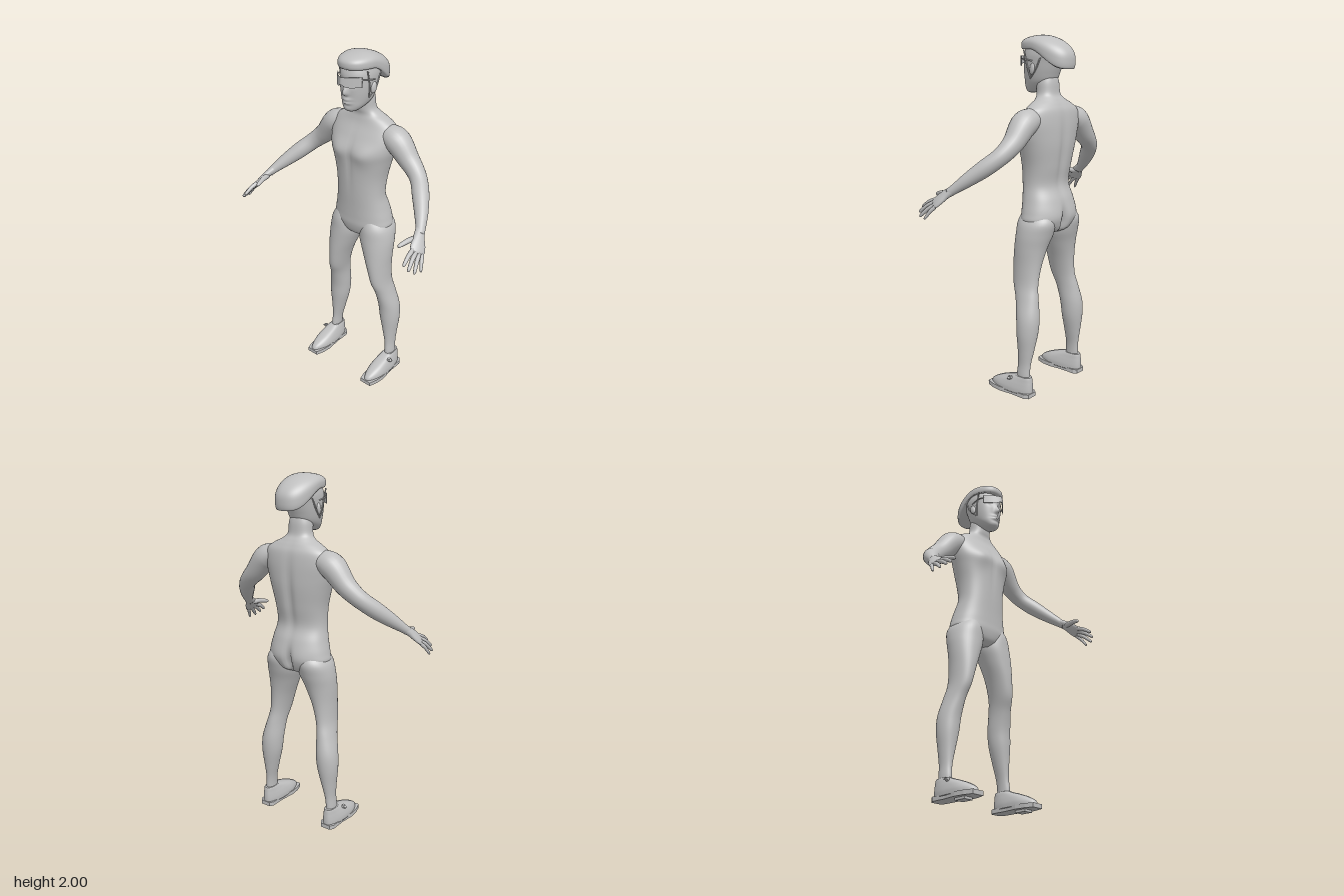
import * as THREE from 'three';

const V = (x, y, z) => new THREE.Vector3(x, y, z);
const bell = (d, w) => Math.exp(-(d * d) / (w * w));

// Catmull-Rom through rows of numbers
function spline(keys, sub) {
  const out = [], last = keys.length - 1;
  for (let i = 0; i < last; i++) {
    const [k0, k1, k2, k3] = [Math.max(i - 1, 0), i, i + 1, Math.min(i + 2, last)].map(j => keys[j]);
    for (let s = 0; s < sub; s++) {
      const t = s / sub;
      out.push(k1.map((b, c) => {
        const a = k0[c], e = k2[c], d = k3[c];
        return 0.5 * (2 * b + (e - a) * t + (2 * a - 5 * b + 4 * e - d) * t * t + (3 * b - a - 3 * e + d) * t * t * t);
      }));
    }
  }
  out.push(keys[last]);
  return out;
}

// Closed smooth skin over a list of loops, always facing outward
function skin(loops) {
  const n = loops[0].length, pts = loops.flat(), idx = [];
  const mid = l => l.reduce((a, p) => a.add(p), V(0, 0, 0)).divideScalar(n);
  const first = pts.length, end = first + 1, top = (loops.length - 1) * n;
  pts.push(mid(loops[0]), mid(loops[loops.length - 1]));
  for (let j = 0; j < n; j++) {
    const k = (j + 1) % n;
    for (let r = 0; r < top; r += n) idx.push(r + j, r + k, r + n + j, r + k, r + n + k, r + n + j);
    idx.push(first, k, j, end, top + j, top + k);
  }
  let vol = 0;
  for (let i = 0; i < idx.length; i += 3) vol += pts[idx[i]].dot(V(0, 0, 0).crossVectors(pts[idx[i + 1]], pts[idx[i + 2]]));
  if (vol < 0) idx.reverse();
  const g = new THREE.BufferGeometry().setFromPoints(pts);
  g.setIndex(idx);
  g.computeVertexNormals();
  return g;
}

const oval = (n, p) => Array.from({ length: n }, (_, i) => {
  const a = i / n * Math.PI * 2, f = v => Math.sign(v) * Math.abs(v) ** (2 / p);
  return [f(Math.cos(a)), f(Math.sin(a))];
});

// Level sections: [y, centre x, half width, front z, back z]
function stack(keys, { n = 40, p = 2, sub = 5, shape = () => {} } = {}) {
  return skin(spline(keys, sub).map(([y, cx, w, f, b]) => oval(n, p).map(([c, s]) => {
    const v = V(cx + w * c, y, (f + b) / 2 + (f - b) / 2 * s);
    shape(v);
    return v;
  })));
}

// Sections across a path: [x, y, z, radius along side, other radius]
function limb(keys, side, n = 24, sub = 5) {
  const rows = spline(keys, sub), at = r => V(r[0], r[1], r[2]);
  return skin(rows.map((r, i) => {
    const t = at(rows[Math.min(i + 1, rows.length - 1)]).sub(at(rows[Math.max(i - 1, 0)])).normalize();
    const u = side.clone().addScaledVector(t, -side.dot(t)).normalize(), w = V(0, 0, 0).crossVectors(t, u);
    return oval(n, 2).map(([c, s]) => at(r).addScaledVector(u, r[3] * c).addScaledVector(w, r[4] * s));
  }));
}

export function createModel() {
  const model = new THREE.Group();
  const grey = new THREE.MeshStandardMaterial({ color: 0xbfbfbf });
  grey.name = 'plain grey';
  const add = (name, geo, parent = model) => {
    const m = new THREE.Mesh(geo, grey);
    m.name = name;
    parent.add(m);
    return m;
  };

  // Torso and neck, with chest, spine and seat modelling
  add('torso', stack([
    [0.925, 0, 0.05, -0.06, -0.18], [0.95, 0, 0.12, -0.03, -0.225], [1.0, 0, 0.185, -0.015, -0.243],
    [1.05, 0, 0.182, -0.013, -0.245], [1.12, 0, 0.165, -0.01, -0.233], [1.2, 0, 0.15, -0.005, -0.207],
    [1.3, 0, 0.156, 0, -0.222], [1.4, 0, 0.18, 0.004, -0.235], [1.47, 0, 0.2, 0.004, -0.238],
    [1.54, 0, 0.21, -0.025, -0.236], [1.6, 0, 0.195, -0.056, -0.228], [1.635, 0, 0.15, -0.068, -0.212],
    [1.66, 0, 0.1, -0.072, -0.196], [1.69, 0, 0.071, -0.066, -0.178], [1.75, 0, 0.065, -0.06, -0.172],
    [1.8, 0, 0.05, -0.06, -0.16]], {
    n: 80, p: 2.2, shape: v => {
      const ax = Math.abs(v.x);
      if (v.z > -0.1) {
        v.z += 0.016 * bell(ax - 0.085, 0.06) * bell(v.y - 1.45, 0.055);
        v.z -= 0.006 * bell(ax, 0.015) * bell(v.y - 1.4, 0.14);
      } else {
        v.z -= 0.008 * bell(ax - 0.08, 0.06) * bell(v.y - 1.03, 0.06);
        v.z += 0.035 * bell(ax, 0.017) * bell(v.y - 0.99, 0.07) + 0.014 * bell(ax, 0.025) * bell(v.y - 1.36, 0.2);
      }
    }
  }));

  // Head with nose, lips, chin and eye sockets
  add('head', stack([
    [1.693, 0, 0.02, 0.005, -0.03], [1.702, 0, 0.04, 0.016, -0.06], [1.725, 0, 0.062, 0.021, -0.11],
    [1.755, 0, 0.077, 0.022, -0.155], [1.8, 0, 0.088, 0.025, -0.177], [1.85, 0, 0.094, 0.027, -0.195],
    [1.9, 0, 0.095, 0.024, -0.21], [1.945, 0, 0.08, 0, -0.19], [1.965, 0, 0.04, -0.05, -0.14]], {
    n: 96, p: 2.15, sub: 7, shape: v => {
      if (v.z < -0.06) return;
      const ax = Math.abs(v.x);
      v.z += 0.028 * bell(ax, 0.014) * bell(v.y - 1.797, v.y > 1.797 ? 0.035 : 0.013);
      v.z += 0.013 * bell(ax, 0.026) * (bell(v.y - 1.762, 0.009) + bell(v.y - 1.743, 0.008));
      v.z += 0.005 * bell(ax, 0.025) * bell(v.y - 1.712, 0.014);
      v.z -= 0.012 * bell(ax - 0.035, 0.02) * bell(v.y - 1.85, 0.018);
    }
  }));

  // Helmet: dome sweeping down at the back, rim tucked under
  const dome = [];
  const ring = (theta, shrink) => oval(56, 2.25).map(([c, s]) => {
    const r = Math.sin(theta), k = Math.cos(theta), z = -0.118 + 0.162 * s * r;
    const drop = THREE.MathUtils.smoothstep(-z, 0.07, 0.28);
    const low = 1.945 - 0.085 * drop, high = 2 - 0.035 * drop;
    const y = low + (high - low) * Math.sign(k) * Math.abs(k) ** 0.75;
    return V(0.105 * c * r * shrink, y, -0.118 + (z + 0.118) * shrink);
  });
  for (let i = 1; i <= 22; i++) dome.push(ring(i / 22 * 1.85, 1));
  dome.push(ring(1.85, 0.97), ring(1.85, 0.85));
  add('helmet', skin(dome));

  // Wraparound eyewear
  const lens = new THREE.BoxGeometry(0.17, 0.054, 0.005, 24, 2, 1), lp = lens.attributes.position;
  for (let i = 0; i < lp.count; i++) {
    const x = lp.getX(i), ax = Math.abs(x), y = lp.getY(i);
    lp.setY(i, 1.863 + y + (y < -0.02 ? 0.016 * bell(ax, 0.018) : 0));
    lp.setZ(i, lp.getZ(i) + 0.066 - 0.4 * ax - 5 * ax * ax);
  }
  lens.computeVertexNormals();
  add('visorLens', lens);

  // Shoe outline, half of it mirrored
  const half = [[0.03, -0.197], [0.045, -0.175], [0.046, -0.08], [0.057, 0], [0.051, 0.06], [0.036, 0.108]];
  const outline = new THREE.Shape([...half, ...half.map(([x, z]) => [-x, z]).reverse()].map(([x, z]) => new THREE.Vector2(x, -z)));

  for (const s of [1, -1]) {
    const side = new THREE.Group();
    side.name = s > 0 ? 'leftSide' : 'rightSide';
    model.add(side);
    const flip = keys => keys.map(([x, ...r]) => [x * s, ...r]);

    // Leg: [y, inner x, outer x, front z, back z]
    add('leg', stack([
      [1.06, 0.04, 0.15, -0.04, -0.21], [1.0, 0.012, 0.196, -0.018, -0.24], [0.93, 0.008, 0.212, -0.013, -0.226],
      [0.85, 0.04, 0.214, -0.01, -0.202], [0.75, 0.082, 0.211, -0.01, -0.185], [0.65, 0.112, 0.214, -0.02, -0.181],
      [0.57, 0.127, 0.23, -0.05, -0.195], [0.47, 0.133, 0.255, -0.074, -0.211], [0.38, 0.143, 0.26, -0.082, -0.208],
      [0.28, 0.168, 0.25, -0.091, -0.192], [0.2, 0.188, 0.244, -0.095, -0.178], [0.14, 0.195, 0.247, -0.09, -0.175],
      [0.1, 0.195, 0.247, -0.09, -0.175]
    ].map(([y, a, b, f, k]) => [y, s * (a + b) / 2, (b - a) / 2, f, k])));

    // Arm and hand
    add('arm', limb(flip([
      [0.11, 1.55, -0.14, 0.05, 0.05], [0.17, 1.555, -0.14, 0.066, 0.064], [0.225, 1.533, -0.14, 0.073, 0.07],
      [0.295, 1.455, -0.14, 0.059, 0.058], [0.345, 1.41, -0.132, 0.05, 0.051], [0.39, 1.37, -0.11, 0.046, 0.047],
      [0.44, 1.32, -0.06, 0.045, 0.046], [0.495, 1.262, 0.005, 0.036, 0.037], [0.533, 1.217, 0.058, 0.027, 0.026],
      [0.55, 1.193, 0.088, 0.024, 0.022]]), V(0, 0, 1)));
    const across = V(0.6 * s, -0.5, -0.6);
    add('palm', limb(flip([
      [0.535, 1.214, 0.062, 0.025, 0.022], [0.555, 1.187, 0.1, 0.031, 0.02], [0.573, 1.16, 0.13, 0.041, 0.017],
      [0.587, 1.137, 0.154, 0.042, 0.013], [0.594, 1.128, 0.163, 0.032, 0.007]]), across));
    const digits = [
      ['indexFinger', [0.57, 1.152, 0.168], [0.583, 1.1, 0.263], 0.0115],
      ['middleFinger', [0.582, 1.142, 0.157], [0.61, 1.078, 0.257], 0.0115],
      ['ringFinger', [0.593, 1.131, 0.146], [0.63, 1.06, 0.232], 0.011],
      ['littleFinger', [0.604, 1.122, 0.135], [0.638, 1.053, 0.187], 0.0095],
      ['thumb', [0.548, 1.182, 0.1], [0.515, 1.168, 0.222], 0.014]];
    for (const [name, a, b, r] of digits) {
      const mix = (t, k, up) => [...a.map((v, i) => v + (b[i] - v) * t + (i === 1 ? up : 0)), r * k, r * k];
      add(name, limb(flip([mix(-0.1, 0.8, 0), mix(0.2, 1.1, 0.003), mix(0.5, 1, 0.007), mix(0.85, 0.8, 0.003),
        mix(0.97, 0.55, 0), mix(1, 0.15, 0)]), across, 12, 3));
    }

    // Ear, helmet strap and eyewear temple
    const ear = add('ear', new THREE.SphereGeometry(1, 16, 12), side);
    ear.scale.set(0.011, 0.031, 0.019);
    ear.position.set(s * 0.093, 1.82, -0.085);
    ear.rotation.set(-0.2, s * -0.3, 0);
    const cord = (name, pts, r) => add(name, new THREE.TubeGeometry(
      new THREE.CatmullRomCurve3(pts.map(([x, y, z]) => V(x * s, y, z))), 16, r, 6), side);
    cord('frontStrap', [[0.098, 1.92, -0.03], [0.095, 1.84, -0.05], [0.083, 1.77, -0.062]], 0.004);
    cord('rearStrap', [[0.09, 1.88, -0.14], [0.092, 1.82, -0.11], [0.083, 1.77, -0.062]], 0.004);
    cord('temple', [[0.082, 1.875, 0.0], [0.097, 1.872, -0.03], [0.096, 1.862, -0.09]], 0.004);

    // Shoe with sole, cleat and buckle
    const shoe = new THREE.Group();
    shoe.name = 'shoe';
    shoe.position.x = s * 0.222;
    side.add(shoe);
    add('upper', stack([
      [0.03, 0, 0.053, 0.104, -0.194], [0.055, 0, 0.053, 0.092, -0.195], [0.08, 0, 0.048, 0.05, -0.194],
      [0.1, 0, 0.042, 0, -0.192], [0.118, 0, 0.036, -0.055, -0.19], [0.128, 0, 0.031, -0.082, -0.187]], {
      p: 2.6, shape: v => { v.x *= 1 - 0.25 * THREE.MathUtils.smoothstep(v.z, 0, 0.11) - 0.12 * THREE.MathUtils.smoothstep(-v.z, 0.05, 0.19); }
    }), shoe);
    const sole = new THREE.ExtrudeGeometry(outline, { depth: 0.024, bevelEnabled: false });
    add('sole', sole.rotateX(-Math.PI / 2).translate(0, 0.013, 0), shoe);
    add('cleat', new THREE.BoxGeometry(0.056, 0.014, 0.07).translate(0, 0.007, 0.008), shoe);
    add('buckle', new THREE.CylinderGeometry(0.011, 0.011, 0.014, 16).rotateZ(Math.PI / 2).translate(s * 0.042, 0.11, -0.07), shoe);
    const tab = add('strapTab', new THREE.BoxGeometry(0.026, 0.006, 0.018), shoe);
    tab.position.set(s * 0.048, 0.113, -0.07);
    tab.rotation.z = s * -0.5;
  }
  return model;
}
